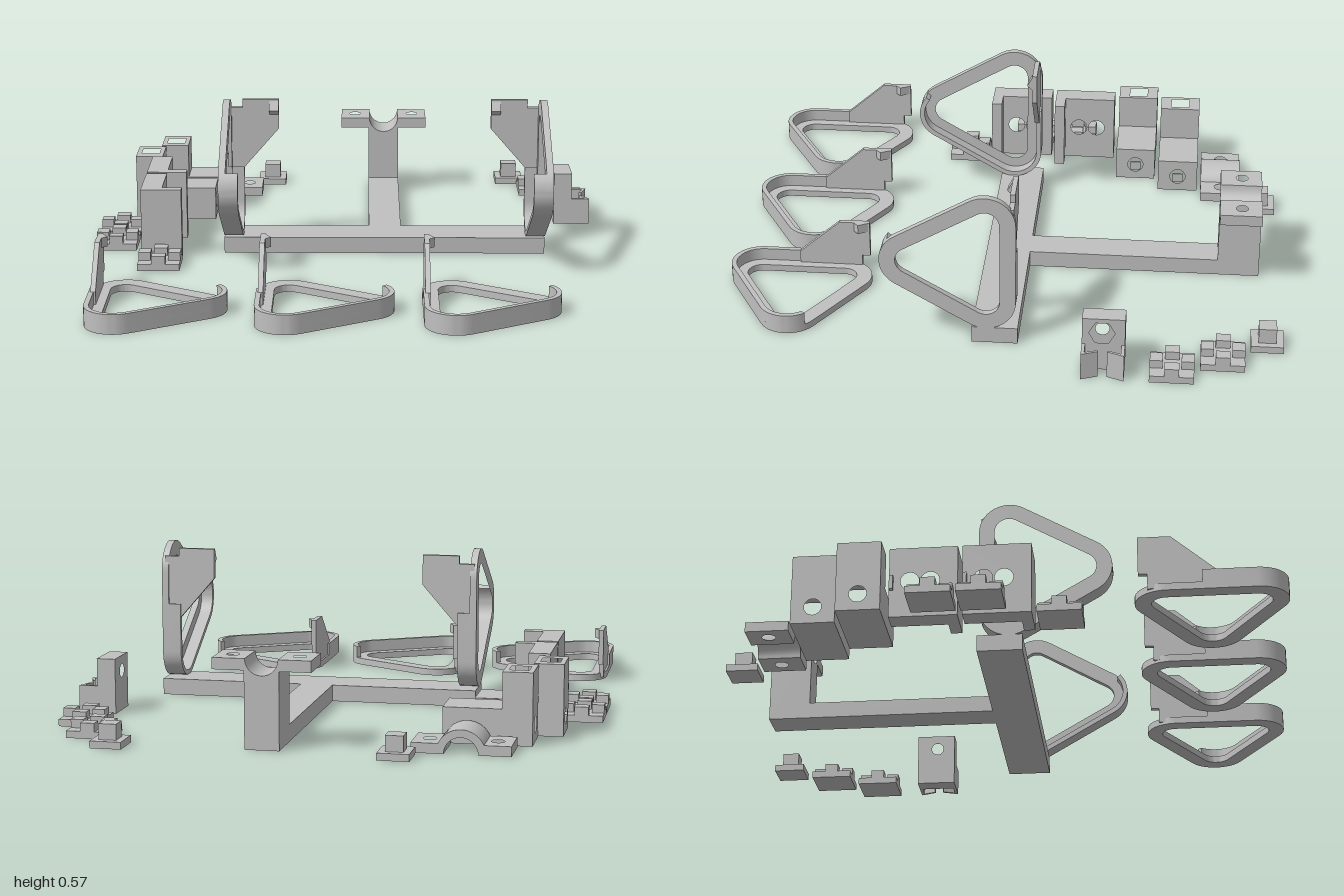
import * as THREE from 'three';
import { toCreasedNormals } from 'three/addons/utils/BufferGeometryUtils.js';

export function createModel() {
  const root = new THREE.Group();
  const grey = new THREE.MeshStandardMaterial({ color: 0xc0c0c0 });
  grey.name = 'light grey';

  const add = (parent, name, geo) => {
    const mesh = new THREE.Mesh(geo, grey);
    mesh.name = name;
    parent.add(mesh);
    return mesh;
  };
  const group = (name) => {
    const g = new THREE.Group();
    g.name = name;
    root.add(g);
    return g;
  };
  // Box from its limits
  const box = (parent, name, x0, x1, y0, y1, z0, z1) => add(parent, name,
    new THREE.BoxGeometry(x1 - x0, y1 - y0, z1 - z0)
      .translate((x0 + x1) / 2, (y0 + y1) / 2, (z0 + z1) / 2));
  const V = (x, y) => new THREE.Vector2(x, y);
  const arc = (cx, cy, r, a0, a1, n = 14) => Array.from({ length: n + 1 }, (_, i) => {
    const a = (a0 + (a1 - a0) * i / n) * Math.PI / 180;
    return V(cx + r * Math.cos(a), cy + r * Math.sin(a));
  });
  const rect = (a0, a1, b0, b1) => [V(a0, b0), V(a1, b0), V(a1, b1), V(a0, b1)];
  const circle = (cx, cy, r, n = 24) => arc(cx, cy, r, 0, 360, n).slice(0, n);
  const extrude = (pts, holes, depth) => {
    const shape = new THREE.Shape(pts);
    shape.holes = holes.map((h) => new THREE.Path(h));
    return toCreasedNormals(new THREE.ExtrudeGeometry(shape, { depth, bevelEnabled: false }), 0.6);
  };
  // Extrusions along each axis; outlines are (z,y), (x,z) and (x,y)
  const alongX = (pts, holes, x0, x1) => {
    const f = (list) => list.map((p) => V(-p.x, p.y));
    return extrude(f(pts), holes.map(f), x1 - x0).rotateY(Math.PI / 2).translate(x0, 0, 0);
  };
  const alongY = (pts, holes, y0, y1) => {
    const f = (list) => list.map((p) => V(p.x, -p.y));
    return extrude(f(pts), holes.map(f), y1 - y0).rotateX(-Math.PI / 2).translate(0, y0, 0);
  };
  const alongZ = (pts, holes, z0, z1) => extrude(pts, holes, z1 - z0).translate(0, 0, z0);

  // T-shaped frame with a post and cradle
  const frame = group('frame');
  box(frame, 'crossbar', -0.455, 0.73, 0, 0.06, -0.08, 0.08);
  box(frame, 'stem', 0.08, 0.2, 0, 0.06, -0.77, -0.08);
  add(frame, 'cradlePost', alongZ(
    [V(0.08, 0), V(0.2, 0), V(0.2, 0.31), ...arc(0.14, 0.31, 0.057, 0, -180), V(0.08, 0.31)],
    [], -0.918, -0.767));
  for (const s of [-1, 1]) {
    const a = 0.14 + s * 0.06, b = 0.14 + s * 0.17;
    add(frame, 'cradleFlange', alongY(
      rect(Math.min(a, b), Math.max(a, b), -0.918, -0.767),
      [circle(0.14 + s * 0.115, -0.845, 0.022)], 0.27, 0.31));
  }

  // Rounded triangular loop: flat ring, part-height rim, clip tab
  const R = 0.106;
  const loop = (name, s) => {
    const g = group(name);
    const flip = (pts) => pts.map((p) => V(p.x, p.y * s));
    const ring = (r) => flip([...arc(0, 0.15, r, 60, 180), ...arc(0, -0.15, r, 180, 300),
      ...arc(0.26, 0, r, -60, 60)]);
    const edge = (r) => [V(-r, 0.03), ...arc(0, -0.15, r, 180, 300), ...arc(0.26, 0, r, -60, 41)];
    add(g, 'loopRing', extrude(ring(R), [ring(R - 0.056)], 0.025));
    add(g, 'loopRim', extrude(flip([...edge(R), ...edge(R - 0.018).reverse()]), [], 0.07));
    const turn = new THREE.Matrix4().makeBasis(
      new THREE.Vector3(0, 1, 0), new THREE.Vector3(0, 0, 1), new THREE.Vector3(1, 0, 0));
    const tab = [[-0.02, 0.01], [-0.02, 0.07], [0.13, 0.2], [0.24, 0.2], [0.24, 0.065],
      [0.21, 0.065], [0.21, 0.01]].map(([v, h]) => V(v * s, h));
    add(g, 'clipTab', extrude(tab, [], 0.018).applyMatrix4(turn).translate(-0.099, 0, 0));
    add(g, 'clipCatch', alongZ(
      flip([V(-0.084, 0.24), V(-0.084, 0.18), V(-0.062, 0.2)]), [], 0.165, 0.2));
    return g;
  };
  for (const x of [-0.77, -0.2, 0.37]) {
    const g = loop('looseLoop', 1);
    g.rotation.x = -Math.PI / 2;
    g.position.set(x, 0, 0.739);
  }
  for (const s of [-1, 1]) {
    const g = loop(s > 0 ? 'leftStandingLoop' : 'rightStandingLoop', s);
    g.quaternion.setFromRotationMatrix(new THREE.Matrix4().makeBasis(
      new THREE.Vector3(0, 0, 1), new THREE.Vector3(0, s, 0), new THREE.Vector3(-s, 0, 0)));
    g.position.set(s > 0 ? 0.732 : -0.455, 0.314, 0.032);
  }

  // Small feet with one peg
  for (const [x, z] of [[0.66, -0.943], [-0.316, -0.926]]) {
    const g = group('singlePegFoot');
    box(g, 'footPlate', x - 0.055, x + 0.055, 0, 0.025, z - 0.057, z + 0.057);
    box(g, 'footPeg', x - 0.031, x + 0.031, 0.025, 0.08, z - 0.031, z + 0.031);
  }

  // Square plates with four edge pegs
  for (const [x, z] of [[0.767, -0.79], [0.854, -0.618], [-0.861, -0.189], [-0.861, -0.021],
    [-0.681, 0.231]]) {
    const g = group('fourPegPlate');
    box(g, 'pegPlate', x - 0.076, x + 0.076, 0, 0.025, z - 0.076, z + 0.076);
    for (const [dx, dz] of [[1, 0], [-1, 0], [0, 1], [0, -1]]) {
      const px = x + dx * 0.054, pz = z + dz * 0.054;
      const wx = dx ? 0.022 : 0.025, wz = dz ? 0.022 : 0.025;
      box(g, 'edgePeg', px - wx, px + wx, 0.025, 0.055, pz - wz, pz + wz);
    }
  }

  // Jaw block with bolt hole, nut pocket and two pointed arms
  const jaw = group('jawBlock');
  const jawFace = rect(-0.457, -0.31, 0, 0.2);
  add(jaw, 'jawBack', alongX(jawFace, [circle(-0.378, 0.145, 0.024)], 0.797, 0.835));
  add(jaw, 'jawNutPocket', alongX(jawFace, [circle(-0.378, 0.145, 0.045, 6)], 0.835, 0.865));
  for (const s of [-1, 1]) {
    const c = -0.3835, o = c + s * 0.0735;
    add(jaw, 'jawArm', alongY([V(0.865, o), V(0.933, o), V(0.91, c + s * 0.015),
      V(0.902, c + s * 0.018), V(0.918, c + s * 0.062), V(0.865, c + s * 0.062)], [], 0, 0.1));
  }

  // Stepped blocks with a shaft bore and a square top socket
  for (const [x, z] of [[-0.824, -0.439], [-0.738, -0.607]]) {
    const g = group('steppedBlock');
    const bore = [circle(z, 0.06, 0.03)];
    add(g, 'blockBase', alongX(rect(z - 0.076, z + 0.076, 0, 0.125), bore, x, x + 0.307));
    add(g, 'blockTower', alongY(rect(x, x + 0.104, z - 0.076, z + 0.076),
      [rect(x + 0.018, x + 0.087, z - 0.035, z + 0.035)], 0.125, 0.253));
    add(g, 'socketCollar', alongY(rect(x + 0.017, x + 0.088, z - 0.036, z + 0.036),
      [circle(x + 0.053, z, 0.024, 6)], 0.125, 0.2));
    box(g, 'endNub', x + 0.307, x + 0.316, 0.04, 0.075, z - 0.02, z + 0.02);
  }

  // Upright brackets with twin holes and a foot
  for (const z of [-0.345, -0.095]) {
    const g = group('uprightBracket');
    const c = z + 0.106;
    add(g, 'bracketWall', alongX(rect(z, z + 0.234, 0, 0.257),
      [circle(c - 0.035, 0.132, 0.032), circle(c + 0.035, 0.132, 0.032)], -0.757, -0.68));
    box(g, 'bracketFoot', -0.68, -0.608, 0, 0.257, z + 0.195, z + 0.234);
    box(g, 'bracketNub', -0.773, -0.757, 0.1, 0.15, z + 0.002, z + 0.015);
  }

  // Loose saddle cap
  const cap = group('saddleCap');
  const cx = -0.52;
  add(cap, 'capArch', alongZ([...arc(cx, 0, 0.085, 0, 180, 20), ...arc(cx, 0, 0.058, 180, 0, 20)],
    [], -0.848, -0.698));
  for (const s of [-1, 1]) {
    const xs = [cx + s * 0.075, cx + s * 0.169].sort((a, b) => a - b);
    add(cap, 'capFlange', alongY(rect(xs[0], xs[1], -0.848, -0.698),
      [circle(cx + s * 0.115, -0.775, 0.023)], 0, 0.035));
  }
  return root;
}
